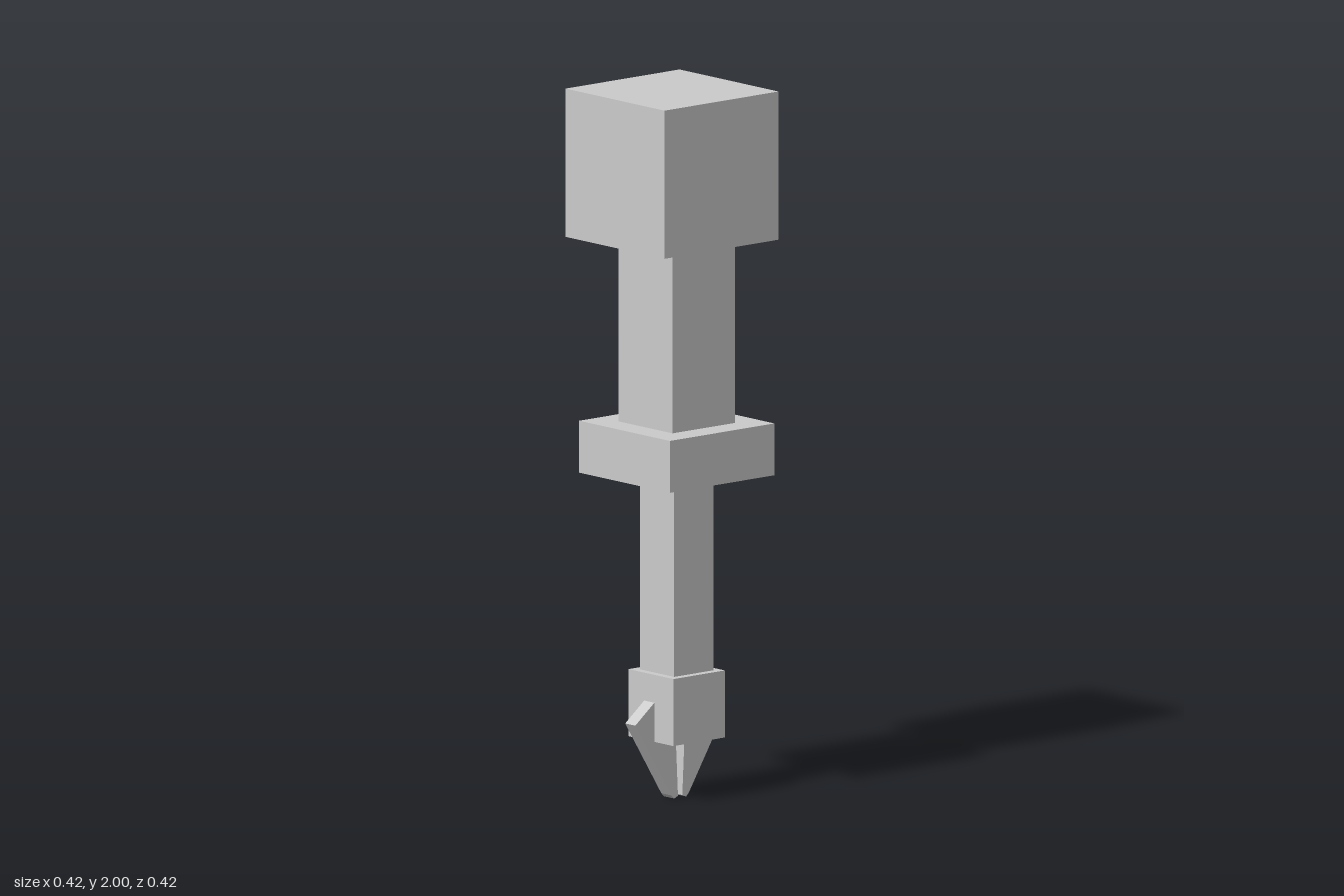
import * as THREE from 'three';

export function createModel() {
  const model = new THREE.Group();
  const material = new THREE.MeshStandardMaterial({ color: 0xcccccc, flatShading: true });

  // Stacked square sections: name, width, bottom, top, z centre
  const sections = [
    ['head', 0.42, 1.58, 2, 0],
    ['upperShaft', 0.23, 1.062, 1.58, 0.02],
    ['collar', 0.385, 0.915, 1.062, 0.02],
    ['lowerShaft', 0.145, 0.36, 0.915, 0.02],
    ['clawBlock', 0.19, 0.17, 0.36, 0.02],
  ];
  for (const [name, width, bottom, top, z] of sections) {
    const mesh = new THREE.Mesh(new THREE.BoxGeometry(width, top - bottom, width), material);
    mesh.name = name;
    mesh.position.set(0, (bottom + top) / 2, z);
    model.add(mesh);
  }

  // Pair of flat claws, mirrored about x = 0, rooted inside the block
  const thickness = 0.043;
  for (const [name, side] of [['leftClaw', 1], ['rightClaw', -1]]) {
    const outline = [
      [0.008, 0.006], [0.022, 0], [0.032, 0.01], [0.165, 0.225], [0.09, 0.285], [0.018, 0.285], [0.016, 0.17],
    ].map(([x, y]) => new THREE.Vector2(side * x, y));
    const geometry = new THREE.ExtrudeGeometry(new THREE.Shape(outline), { depth: thickness, bevelEnabled: false });
    const claw = new THREE.Mesh(geometry, material);
    claw.name = name;
    claw.position.z = 0.013 - thickness / 2;
    model.add(claw);
  }
  return model;
}
